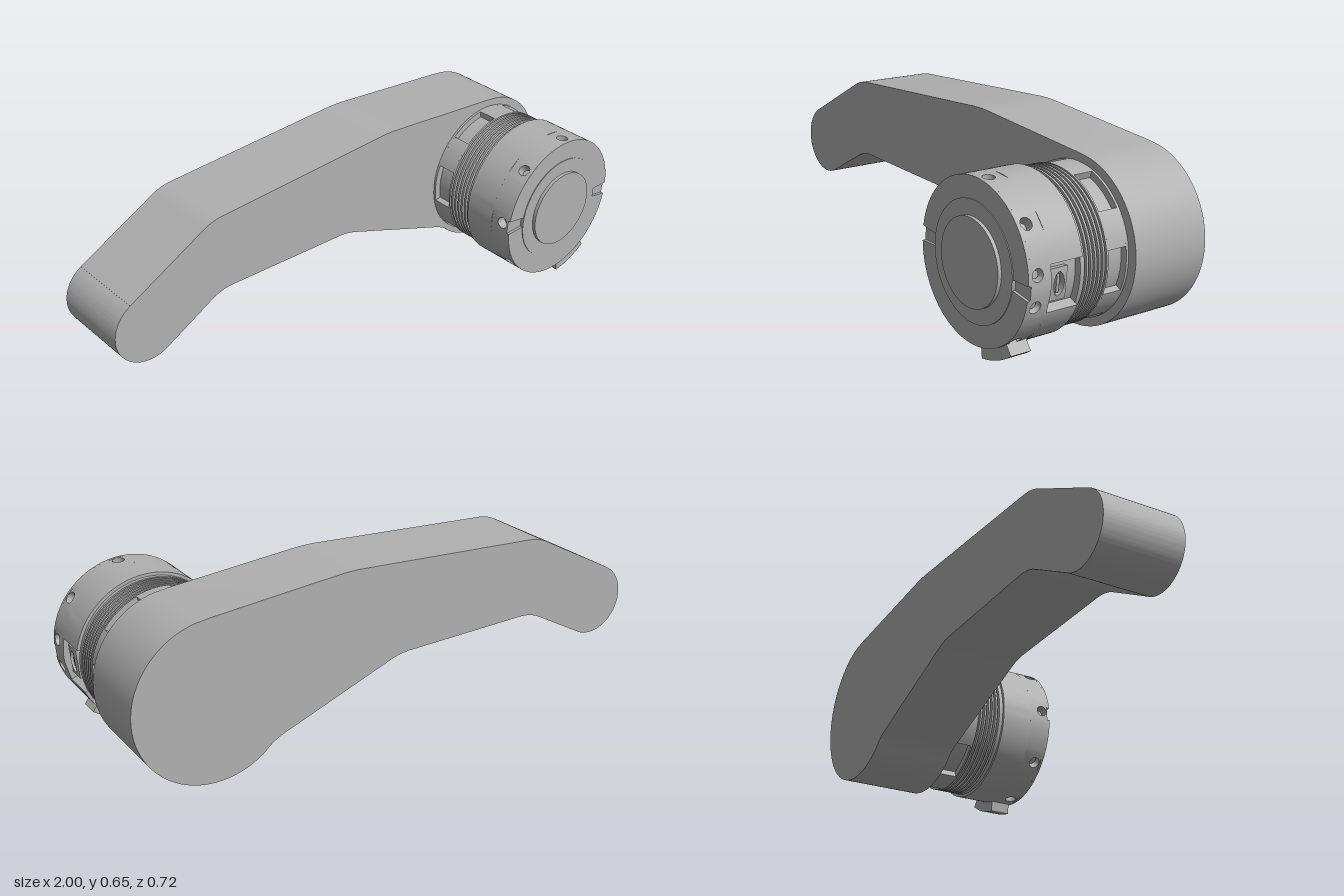
import * as THREE from 'three';
import { mergeGeometries, toCreasedNormals } from 'three/addons/utils/BufferGeometryUtils.js';

const metal = new THREE.MeshStandardMaterial({ color: 0xb0b0b0 });
metal.name = 'plain grey';
const rad = THREE.MathUtils.degToRad;

// Hub axis runs along z through this point
const HUB = { x: 0.705, y: 0.312 };
const CORE = 0.238;

function mesh(name, geometry) {
  const m = new THREE.Mesh(geometry, metal);
  m.name = name;
  return m;
}

// Wraps a flat geometry (x = angle, y = depth, z = radius) around the hub axis
function bend(geometry) {
  const p = geometry.attributes.position;
  for (let i = 0; i < p.count; i++) {
    const a = p.getX(i), z = p.getY(i), r = p.getZ(i);
    p.setXYZ(i, r * Math.cos(a), r * Math.sin(a), z);
  }
  return geometry.index ? geometry.toNonIndexed() : geometry;
}

// Curved block between two angles (degrees)
function block(a0, a1, z0, z1, r0, r1) {
  const span = rad(a1 - a0);
  const g = new THREE.BoxGeometry(span, z1 - z0, r1 - r0, Math.max(1, Math.ceil((a1 - a0) / 4)), 1, 1);
  g.translate(rad(a0) + span / 2, (z0 + z1) / 2, (r0 + r1) / 2);
  return bend(g);
}

// Curved block with an oval hole through it
function pierced(a0, a1, z0, z1, r0, r1, hole) {
  const s = new THREE.Shape();
  s.moveTo(rad(a0), z0);
  s.lineTo(rad(a1), z0);
  s.lineTo(rad(a1), z1);
  s.lineTo(rad(a0), z1);
  const h = new THREE.Path();
  h.absellipse(rad(hole.angle), hole.z, hole.ra / r1, hole.rz, 0, Math.PI * 2, true);
  s.holes.push(h);
  const g = new THREE.ExtrudeGeometry(s, { depth: r1 - r0, bevelEnabled: false, curveSegments: 10 });
  g.translate(0, 0, r0);
  return bend(g);
}

function smooth(parts) {
  return toCreasedNormals(mergeGeometries(parts), 0.5);
}

// Disc or ring with its axis along z
function disc(r, z0, z1) {
  const g = new THREE.CylinderGeometry(r, r, z1 - z0, 90);
  g.rotateX(Math.PI / 2);
  g.translate(0, 0, (z0 + z1) / 2);
  return g;
}

function makeLever() {
  const s = new THREE.Shape();
  s.moveTo(-0.93, 0.432);
  s.lineTo(-0.62, 0.595);
  s.quadraticCurveTo(-0.59, 0.61, -0.55, 0.613);
  s.lineTo(0.15, 0.648);
  s.quadraticCurveTo(0.2, 0.651, 0.26, 0.645);
  s.lineTo(0.72, 0.602);
  s.absarc(0.711, 0.312, 0.289, rad(79), rad(-128), true);
  s.quadraticCurveTo(0.51, 0.11, 0.47, 0.128);
  s.lineTo(0.04, 0.293);
  s.quadraticCurveTo(0, 0.308, -0.04, 0.309);
  s.lineTo(-0.52, 0.324);
  s.quadraticCurveTo(-0.57, 0.325, -0.61, 0.304);
  s.lineTo(-0.8, 0.202);
  s.absarc(-0.868, 0.315, 0.132, rad(-62), rad(-242), true);
  const g = new THREE.ExtrudeGeometry(s, { depth: 0.298, bevelEnabled: false, curveSegments: 36 });
  g.translate(0, 0, -0.358);
  return mesh('lever', toCreasedNormals(g, 0.5));
}

function makeHub() {
  const hub = new THREE.Group();
  hub.name = 'hub';
  hub.position.set(HUB.x, HUB.y, 0);

  hub.add(mesh('core', disc(CORE, -0.07, 0.332)));

  // Rear collar with six windows
  const collar = [block(0, 360, -0.06, -0.051, 0.2, 0.262), block(0, 360, 0.022, 0.029, 0.2, 0.262)];
  for (let k = 0; k < 6; k++) collar.push(block(10 + 60 * k, 37 + 60 * k, -0.051, 0.022, 0.2, 0.262));
  hub.add(mesh('windowedCollar', smooth(collar)));

  // Thin cooling-style fins
  for (let k = 0; k < 6; k++) {
    const z = 0.036 + 0.0165 * k;
    hub.add(mesh('fin', disc(0.262, z, z + 0.008)));
  }
  hub.add(mesh('spacer', disc(0.262, 0.124, 0.135)));

  // Drum: rear band leaves a side pocket, front band is drilled
  const R = 0.273, inner = 0.225;
  const drum = [block(11, 337, 0.133, 0.255, inner, R)];
  const holes = [-51, -16, 6, 39, 84, 129, 174, 219, 264];
  holes.forEach((a, i) => {
    const next = i + 1 < holes.length ? holes[i + 1] : holes[0] + 360;
    drum.push(pierced(a - 7, a + 7, 0.255, 0.332, inner, R, { angle: a, z: 0.307, ra: 0.021, rz: 0.021 }));
    drum.push(block(a + 7, next - 7, 0.255, 0.332, inner, R));
  });
  // Front rim with two radial slots
  drum.push(block(0, 170, 0.332, 0.342, 0.19, R), block(181, 350, 0.332, 0.342, 0.19, R));
  hub.add(mesh('drum', smooth(drum)));

  // Screws sunk in the two side holes
  for (const a of [-16, 6]) {
    const screw = new THREE.CylinderGeometry(0.013, 0.013, 0.03, 12);
    screw.rotateZ(-Math.PI / 2);
    screw.translate(0.243, 0, 0.307);
    screw.rotateZ(rad(a));
    hub.add(mesh('setScrew', screw));
  }

  // Button frame in the side pocket
  hub.add(mesh('pocketButton', smooth([
    pierced(-17, 7, 0.18, 0.245, 0.23, 0.258, { angle: -5, z: 0.2125, ra: 0.04, rz: 0.02 }),
    block(-12, 2, 0.207, 0.218, 0.23, 0.252),
  ])));

  // Front face and raised cap
  hub.add(mesh('frontFace', disc(0.2, 0.32, 0.345)));
  hub.add(mesh('cap', disc(0.147, 0.33, 0.358)));

  // Stop lug on the underside
  hub.add(mesh('stopLug', smooth([block(-83, -54, 0.255, 0.332, 0.25, 0.312)])));
  return hub;
}

export function createModel() {
  const model = new THREE.Group();
  model.name = 'leverHandle';
  model.add(makeLever(), makeHub());
  return model;
}
